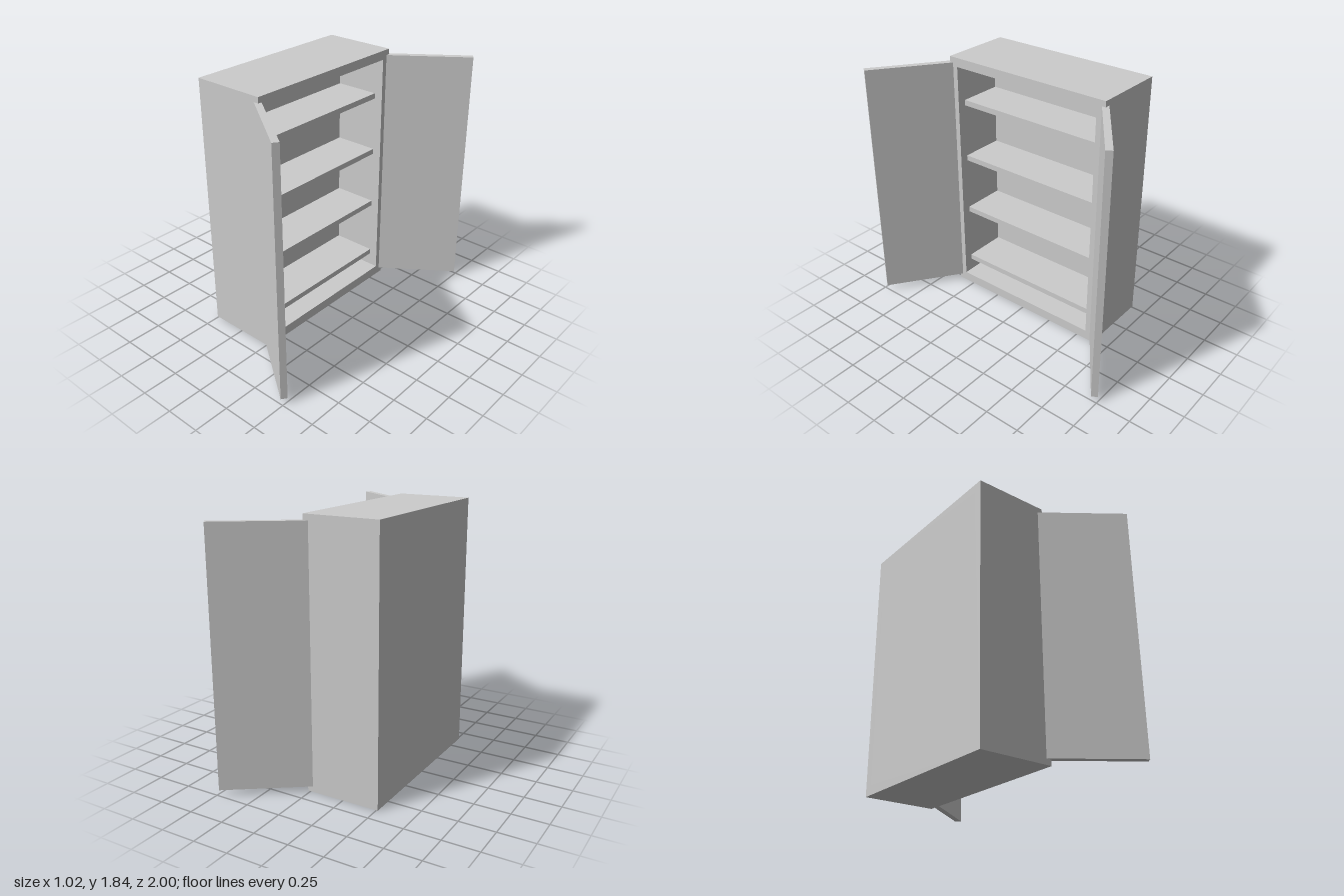
import * as THREE from 'three';

const material = new THREE.MeshStandardMaterial({ color: 0xcccccc });

function addBox(parent, name, size, position) {
  const mesh = new THREE.Mesh(new THREE.BoxGeometry(...size), material);
  mesh.name = name;
  mesh.position.set(...position);
  parent.add(mesh);
  return mesh;
}

export function createModel() {
  const group = new THREE.Group();
  group.name = 'cabinet';

  const back = -0.51, front = 0.02, height = 1.84, halfWidth = 0.64;
  const innerHalf = 0.575, innerBottom = 0.07, innerTop = 1.775, innerBack = -0.37;

  // Carcass: a rectangular tube, open towards +x
  const outline = new THREE.Shape([
    new THREE.Vector2(-halfWidth, 0), new THREE.Vector2(halfWidth, 0),
    new THREE.Vector2(halfWidth, height), new THREE.Vector2(-halfWidth, height),
  ]);
  outline.holes.push(new THREE.Path([
    new THREE.Vector2(-innerHalf, innerBottom), new THREE.Vector2(-innerHalf, innerTop),
    new THREE.Vector2(innerHalf, innerTop), new THREE.Vector2(innerHalf, innerBottom),
  ]));
  const shell = new THREE.ExtrudeGeometry(outline, { depth: front - back, bevelEnabled: false });
  shell.rotateY(Math.PI / 2).translate(back, 0, 0);
  const carcass = new THREE.Mesh(shell, material);
  carcass.name = 'carcass';
  group.add(carcass);

  // Thick back panel closing the tube
  addBox(group, 'backPanel',
    [innerBack - back, innerTop - innerBottom, innerHalf * 2],
    [(back + innerBack) / 2, (innerTop + innerBottom) / 2, 0]);

  // Shelves, set back from the opening
  const shelfFront = -0.043;
  for (const y of [0.185, 0.622, 1.058, 1.494]) {
    addBox(group, 'shelf', [shelfFront - innerBack, 0.04, innerHalf * 2],
      [(shelfFront + innerBack) / 2, y, 0]);
  }

  // Two doors swung open, mirrored in z
  const angle = Math.atan2(0.358, 0.5);
  for (const side of [1, -1]) {
    const door = addBox(group, side > 0 ? 'doorFrontSide' : 'doorBackSide',
      [0.615, 1.76, 0.045], [0.245, 0.92, side * 0.801]);
    door.rotation.y = -side * angle;
  }
  return group;
}
